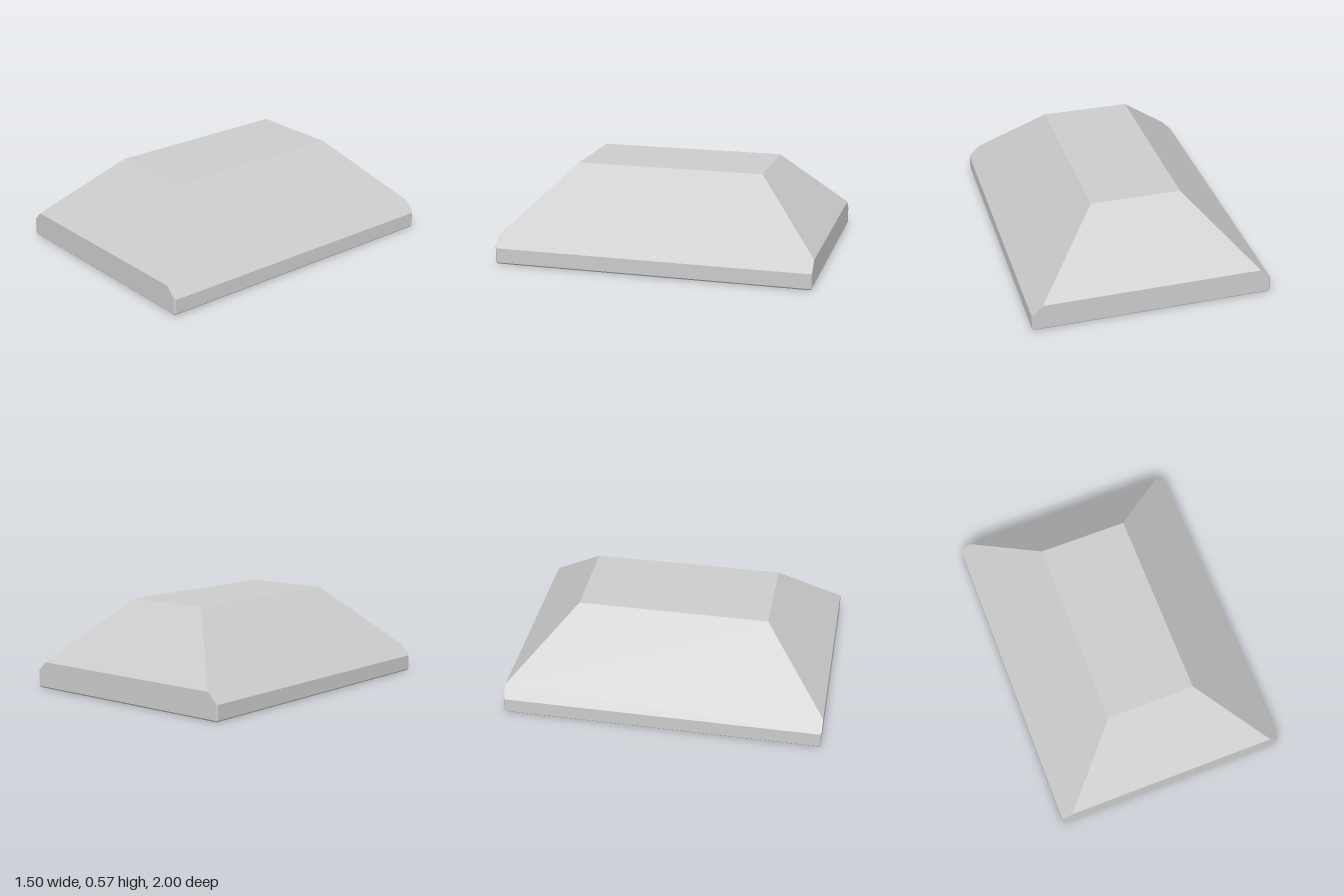
import * as THREE from 'three';
import { ConvexGeometry } from 'three/addons/geometries/ConvexGeometry.js';

export function createModel() {
  const W = 0.75, D = 1;           // half width and half depth of the base
  const H = 0.57;                  // overall height
  const topX = 0.282, topZ = 0.6;  // half size of the flat top
  const c = 0.01;                  // small edge bevel
  const sideSlope = topX + H;      // x + y is constant on the 45 degree side slopes
  const endY = topZ + H - D;       // height where the end slopes meet the end walls

  // corner points of one quadrant, mirrored into all four
  const quadrant = [
    [topX, H, topZ],                       // flat top
    [sideSlope - endY, endY, D],           // hip meets end wall
    [W - c, sideSlope - W + c, D],         // upper end of corner bevel
    [W, sideSlope - W, D - c],
    [W - c, c, D],                         // lower end of corner bevel
    [W, c, D - c],
    [W - c, 0, D - c],                     // underside
  ];
  const points = [];
  for (const sx of [1, -1]) {
    for (const sz of [1, -1]) {
      for (const [x, y, z] of quadrant) points.push(new THREE.Vector3(sx * x, y, sz * z));
    }
  }

  const block = new THREE.Mesh(
    new ConvexGeometry(points),
    new THREE.MeshStandardMaterial({ color: 0xcccccc, flatShading: true })
  );
  block.name = 'hippedBlock';

  const group = new THREE.Group();
  group.name = 'taperedBlock';
  group.add(block);
  return group;
}
